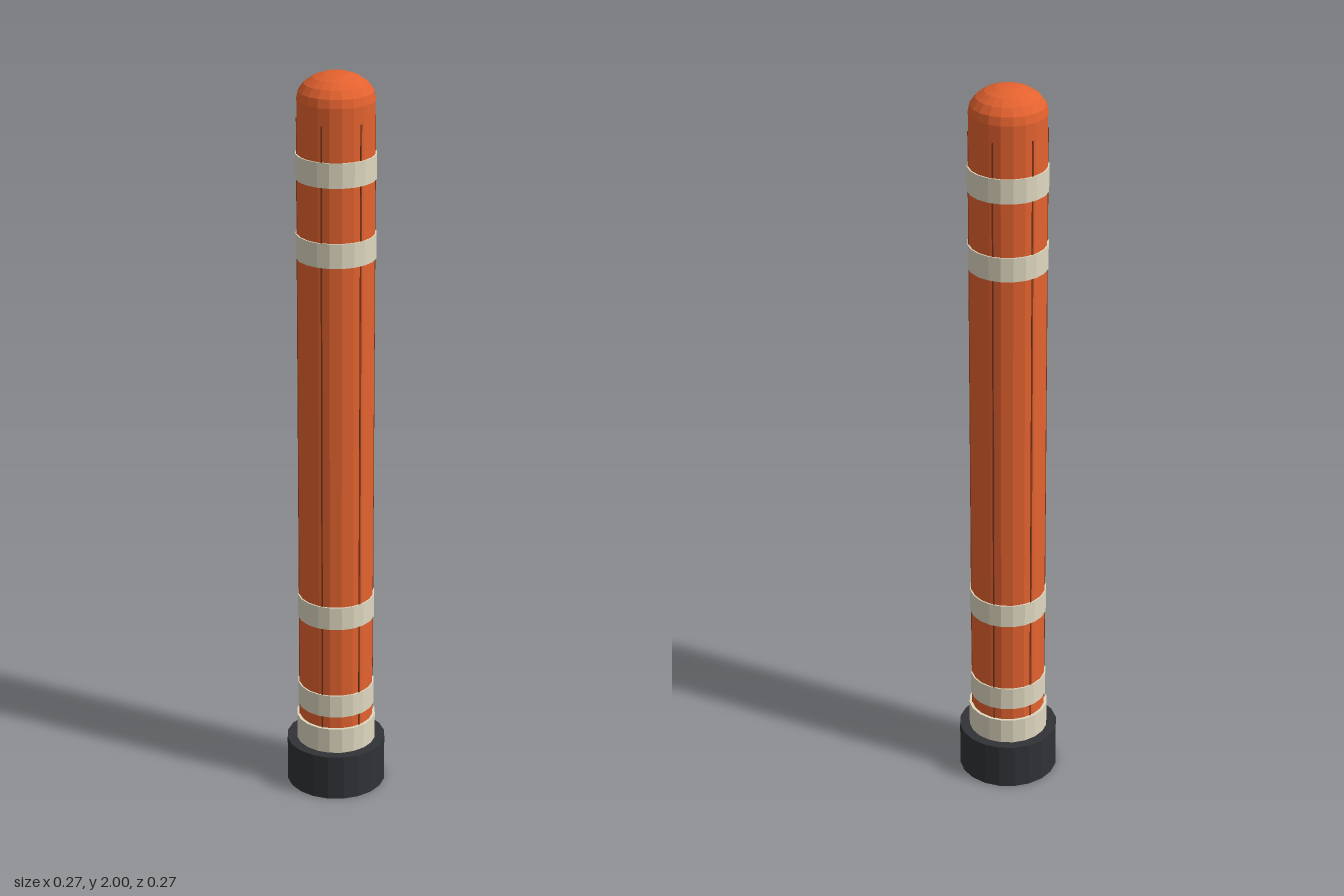
import * as THREE from 'three';

const SIDES = 20;
const paint = (color) => new THREE.MeshStandardMaterial({ color, flatShading: true });

export function createModel() {
  const group = new THREE.Group();
  const orange = paint(0xe4622f);
  const cream = paint(0xdfd8c0);
  const rubber = paint(0x303236);
  const groove = paint(0x8a3a1c);

  const add = (name, geometry, material, y) => {
    const mesh = new THREE.Mesh(geometry, material);
    mesh.name = name;
    mesh.position.y = y;
    group.add(mesh);
    return mesh;
  };

  // upright cylinder between two heights
  const drum = (name, radius, y0, y1, material) =>
    add(name, new THREE.CylinderGeometry(radius, radius, y1 - y0, SIDES), material, (y0 + y1) / 2);

  // foot, collar and post
  drum('base', 0.135, 0, 0.128, rubber);
  drum('collar', 0.108, 0.128, 0.2, cream);
  drum('post', 0.1, 0.19, 1.93, orange);

  // flattened domed cap
  const cap = new THREE.SphereGeometry(0.101, SIDES, 5, 0, Math.PI * 2, 0, Math.PI / 2);
  cap.scale(1, 0.07 / 0.101, 1);
  add('cap', cap, orange, 1.93);

  // reflective bands
  [[0.235, 0.3], [0.5, 0.565], [1.517, 1.582], [1.727, 1.792]].forEach(([y0, y1], i) =>
    drum(`band${i + 1}`, 0.104, y0, y1, cream));

  // six slim vertical seams around the post
  for (let i = 0; i < 6; i++) {
    const angle = Math.PI / 6 + (i * Math.PI) / 3;
    const seam = add(`seam${i + 1}`, new THREE.BoxGeometry(0.004, 1.69, 0.006), groove, 1.04);
    seam.position.x = Math.sin(angle) * 0.0985;
    seam.position.z = Math.cos(angle) * 0.0985;
    seam.rotation.y = angle;
  }
  return group;
}
